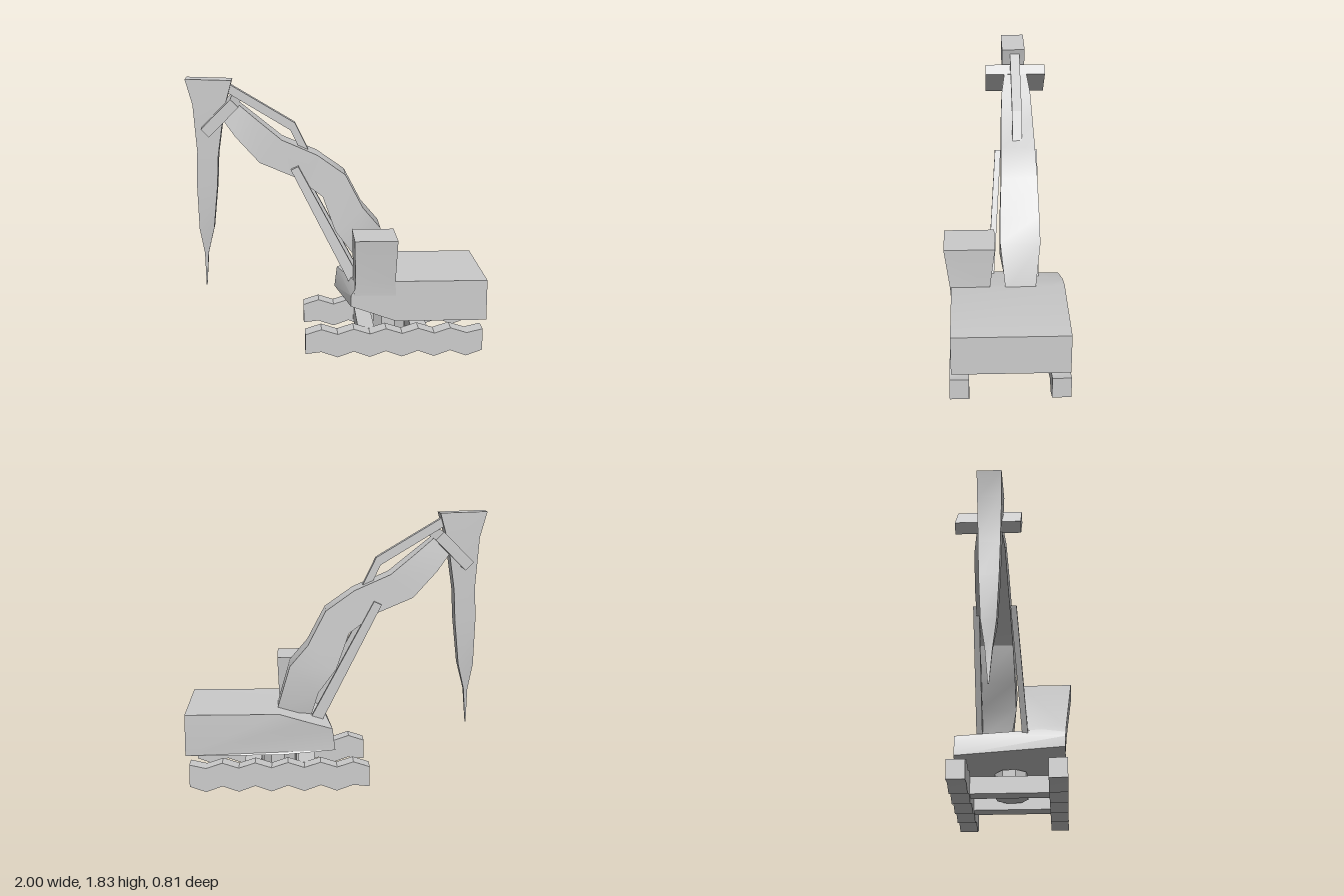
import * as THREE from 'three';
import { toCreasedNormals } from 'three/addons/utils/BufferGeometryUtils.js';

const grey = new THREE.MeshStandardMaterial({ color: 0xcccccc });

function add(parent, name, geometry) {
  const mesh = new THREE.Mesh(toCreasedNormals(geometry, 0.55), grey);
  mesh.name = name;
  parent.add(mesh);
  return mesh;
}

// Skin a list of equal-length rings of [x, y, z] points and cap both ends.
function loft(rings) {
  const n = rings[0].length, last = rings.length - 1, pos = rings.flat(2);
  const tris = [];
  for (let r = 0; r < last; r++) {
    for (let i = 0; i < n; i++) {
      const a = r * n + i, b = r * n + (i + 1) % n;
      tris.push([a, b, b + n], [a, b + n, a + n]);
    }
  }
  for (let i = 1; i < n - 1; i++) {
    tris.push([0, i + 1, i], [last * n, last * n + i, last * n + i + 1]);
  }
  // Turn the faces outward whichever way the rings run
  const v = (i) => new THREE.Vector3().fromArray(pos, i * 3);
  const volume = tris.reduce((s, [a, b, c]) => s + v(a).dot(v(b).cross(v(c))), 0);
  if (volume < 0) tris.forEach((t) => t.reverse());
  const g = new THREE.BufferGeometry();
  g.setAttribute('position', new THREE.Float32BufferAttribute(pos, 3));
  g.setIndex(tris.flat());
  return g;
}

// Side profile [x, y] extruded between two z values.
function slab(points, z0, z1) {
  const shape = new THREE.Shape(points.map((p) => new THREE.Vector2(...p)));
  return new THREE.ExtrudeGeometry(shape, { depth: z1 - z0, bevelEnabled: false }).translate(0, 0, z0);
}

// Rectangular sections: [x1, y1, x2, y2, half width] per station.
function beam(stations, zc) {
  return loft(stations.map(([x1, y1, x2, y2, h]) => [
    [x1, y1, zc + h], [x1, y1, zc - h], [x2, y2, zc - h], [x2, y2, zc + h],
  ]));
}

export function createModel() {
  const model = new THREE.Group();
  model.name = 'excavator';

  // Crawler tracks with a zigzag outline
  const top = [], bottom = [];
  for (let i = 0; i <= 11; i++) {
    const x = -0.215 + i * 0.1082;
    top.push([x, i === 11 ? 0.19 : i % 2 ? 0.2 : 0.165]);
    bottom.push([x, i === 0 ? 0.03 : i % 2 ? 0.042 : 0.003]);
  }
  const outline = [...bottom, ...top.reverse()];
  add(model, 'frontTrack', slab(outline, 0.247, 0.372));
  add(model, 'backTrack', slab(outline, -0.41, -0.285));

  // Cross members and turntable hub
  for (const x of [0.2, 0.56]) {
    add(model, 'crossMember', new THREE.BoxGeometry(0.11, 0.12, 0.56).translate(x, 0.11, -0.018));
  }
  const hub = add(model, 'turntableHub', new THREE.CylinderGeometry(0.118, 0.118, 0.17, 8));
  hub.position.set(0.38, 0.175, -0.015);
  hub.rotation.y = 0.25;

  // Body with a slanting nose
  const bodyFront = [[1, 0.25], [1, 0.525], [0.4, 0.525], [0.14, 0.51], [0.09, 0.43], [0.09, 0.355], [0.39, 0.25]];
  const bodyBack = [[1, 0.25], [1, 0.525], [0.38, 0.525], [0.2, 0.472], [0.03, 0.42], [0.012, 0.275], [0.37, 0.25]];
  add(model, 'body', loft([
    bodyFront.map(([x, y]) => [x, y, 0.36]),
    bodyBack.map(([x, y]) => [x, y, x < 0.1 ? -0.385 : -0.402]),
  ]));

  // Cab, wider at the roof
  const cabRing = (y, x0, x1, z0, z1) => [[x0, y, z0], [x1, y, z0], [x1, y, z1], [x0, y, z1]];
  add(model, 'cab', loft([
    cabRing(0.43, 0.11, 0.39, 0.11, 0.362),
    cabRing(0.52, 0.12, 0.385, 0.1, 0.368),
    cabRing(0.812, 0.112, 0.397, 0.065, 0.405),
  ]));

  // Curved boom
  add(model, 'boom', beam([
    [0.4, 0.5, 0.17, 0.46, 0.1],
    [0.31, 0.81, 0.12, 0.63, 0.134],
    [0.19, 0.95, 0, 0.79, 0.132],
    [0.07, 1.18, -0.085, 1.03, 0.122],
    [-0.12, 1.315, -0.26, 1.16, 0.115],
    [-0.36, 1.42, -0.51, 1.265, 0.11],
    [-0.53, 1.56, -0.67, 1.44, 0.1],
    [-0.68, 1.685, -0.78, 1.59, 0.072],
  ], -0.105));

  // Tapering spike arm
  add(model, 'spikeArm', beam([
    [-1, 1.83, -0.69, 1.82, 0.08],
    [-0.953, 1.66, -0.745, 1.62, 0.078],
    [-0.93, 1.34, -0.79, 1.31, 0.07],
    [-0.938, 1.1, -0.8, 1.1, 0.064],
    [-0.93, 0.8, -0.83, 0.8, 0.05],
    [-0.9, 0.62, -0.874, 0.62, 0.024],
    [-0.896, 0.385, -0.89, 0.385, 0.004],
  ], -0.092));

  // Tilted crosspiece joining boom and arm
  const cross = add(model, 'armCrosspiece', new THREE.BoxGeometry(0.28, 0.075, 0.42));
  cross.position.set(-0.768, 1.583, -0.105);
  cross.rotation.z = Math.PI / 4;

  // Bent upper link
  add(model, 'upperLink', beam([
    [-0.71, 1.79, -0.72, 1.73, 0.033],
    [-0.27, 1.525, -0.3, 1.475, 0.033],
    [-0.18, 1.34, -0.24, 1.35, 0.033],
  ], -0.102));

  // Lift rams on both sides of the boom: top z, bottom z
  for (const [name, zTop, zBase] of [['frontRam', 0.03, 0.09], ['backRam', -0.222, -0.22]]) {
    const end = (x1, y1, x2, y2, z) => [
      [x1, y1, z + 0.02], [x1, y1, z - 0.02], [x2, y2, z - 0.02], [x2, y2, z + 0.02],
    ];
    add(model, name, loft([
      end(-0.3, 1.222, -0.25, 1.245, zTop),
      end(0.1, 0.43, 0.17, 0.46, zBase),
    ]));
  }
  return model;
}
